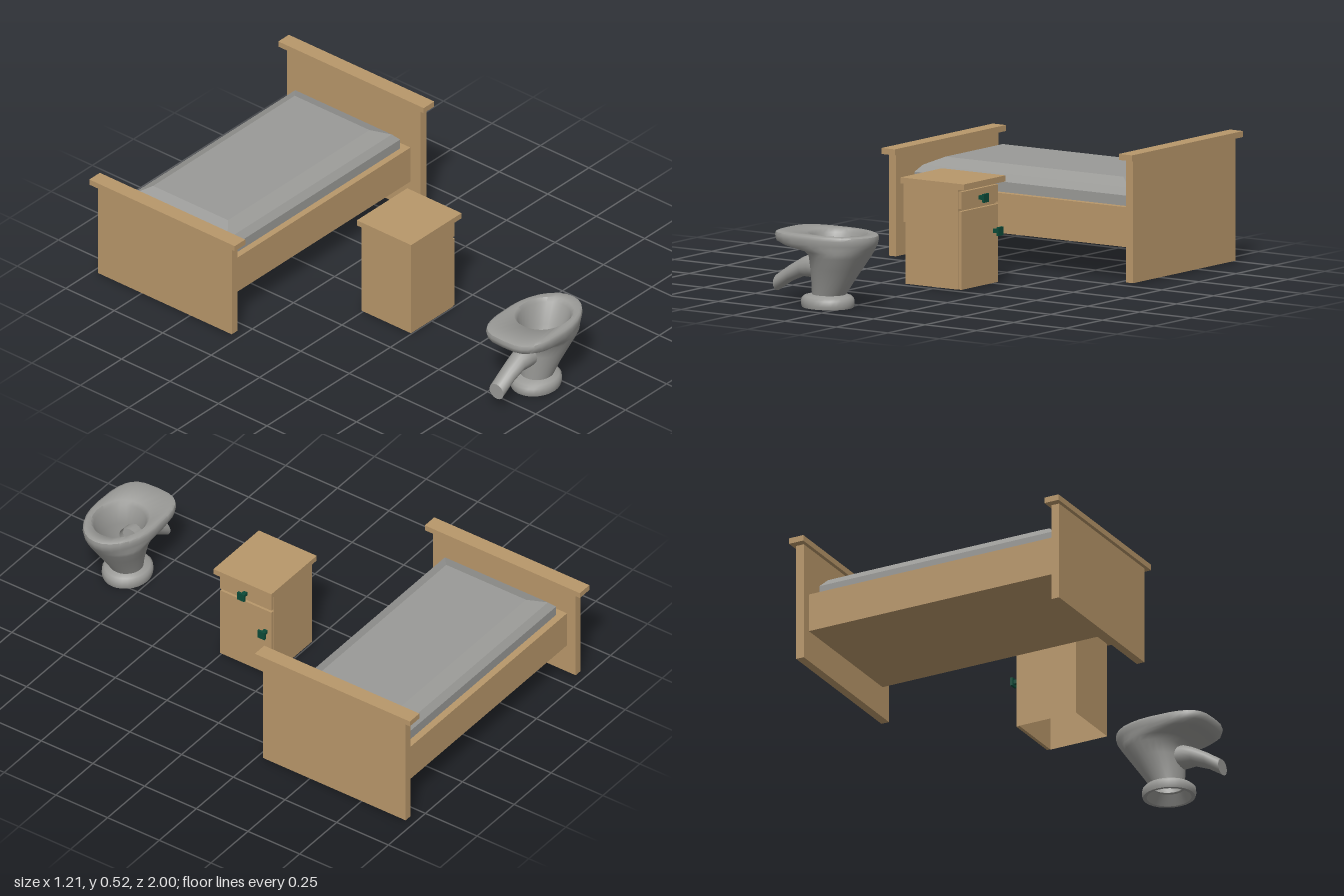
import * as THREE from 'three';
import { toCreasedNormals } from 'three/addons/utils/BufferGeometryUtils.js';

const material = (name, color, side = THREE.FrontSide) => {
  const m = new THREE.MeshStandardMaterial({ color, side });
  m.name = name;
  return m;
};

// Skin through equal-length closed rings of points, optionally closing the last ring.
function loft(rings, closeEnd, crease) {
  const n = rings[0].length, index = [];
  for (let i = 0; i < rings.length - 1; i++) {
    for (let j = 0; j < n; j++) {
      const a = i * n + j, b = i * n + (j + 1) % n;
      index.push(a, a + n, b, b, a + n, b + n);
    }
  }
  const last = (rings.length - 1) * n;
  if (closeEnd) for (let j = 1; j < n - 1; j++) index.push(last, last + j + 1, last + j);
  const g = new THREE.BufferGeometry();
  g.setAttribute('position', new THREE.Float32BufferAttribute(rings.flat(2), 3));
  g.setIndex(index);
  g.computeVertexNormals();
  return toCreasedNormals(g, crease);
}

const ringOf = (n, fn) => Array.from({ length: n }, (_, j) => fn((j / n) * Math.PI * 2));

export function createModel() {
  const root = new THREE.Group();
  const wood = material('wood', 0xb8976a, THREE.DoubleSide);
  const grey = material('grey', 0x9a9a97, THREE.DoubleSide);
  const green = material('dark green', 0x0b4a38);
  const red = material('rust red', 0x7c2613);

  const add = (parent, name, geometry, mat) => {
    const mesh = new THREE.Mesh(geometry, mat);
    mesh.name = name;
    parent.add(mesh);
    return mesh;
  };
  // Box given by its limits on each axis.
  const box = (parent, name, mat, [x0, x1], [y0, y1], [z0, z1]) => {
    const g = new THREE.BoxGeometry(x1 - x0, y1 - y0, z1 - z0);
    g.translate((x0 + x1) / 2, (y0 + y1) / 2, (z0 + z1) / 2);
    return add(parent, name, g, mat);
  };
  const group = (name) => {
    const g = new THREE.Group();
    g.name = name;
    root.add(g);
    return g;
  };

  // Bed
  const bed = group('bed');
  box(bed, 'bedFrame', wood, [-0.56, 0.557], [0.138, 0.297], [-0.927, -0.331]);
  for (const [name, x, top] of [['footboard', -0.575, 0.415], ['headboard', 0.573, 0.498]]) {
    box(bed, name, wood, [x - 0.017, x + 0.017], [0.008, top], [-0.969, -0.278]);
    box(bed, name + 'Cap', wood, [x - 0.032, x + 0.032], [top, top + 0.024], [-1, -0.25]);
  }
  // Mattress with a two-step bevel: height, inset in x, inset in z
  const mattressRings = [[0.297, 0, 0], [0.338, 0, 0], [0.366, 0.026, 0.021], [0.397, 0.095, 0.077]]
    .map(([y, ix, iz]) => [[1, 1], [-1, 1], [-1, -1], [1, -1]]
      .map(([sx, sz]) => [sx * (0.525 - ix), y, -0.628 + sz * (0.27 - iz)]));
  add(bed, 'mattress', loft(mattressRings, true, 0.05), grey);

  // Bedside cabinet, open underneath
  const cabinet = group('bedsideCabinet');
  const shell = box(cabinet, 'cabinetBody', wood, [-0.13, 0.125], [0.008, 0.408], [0, 0.254]);
  const faces = Array.from(shell.geometry.index.array);
  faces.splice(18, 6); // the bottom face
  shell.geometry.setIndex(faces);
  shell.geometry.clearGroups();
  box(cabinet, 'cabinetTop', wood, [-0.144, 0.162], [0.408, 0.432], [-0.013, 0.267]);
  box(cabinet, 'drawerFront', wood, [0.125, 0.139], [0.329, 0.397], [0.003, 0.251]);
  box(cabinet, 'cabinetDoor', wood, [0.125, 0.139], [0.008, 0.319], [0.003, 0.251]);
  for (const [name, y, z] of [['drawerKnob', 0.361, 0.128], ['doorKnob', 0.216, 0.03]]) {
    box(cabinet, name + 'Stem', green, [0.139, 0.163], [y - 0.008, y + 0.008], [z - 0.008, z + 0.008]);
    box(cabinet, name, green, [0.163, 0.173], [y - 0.017, y + 0.017], [z - 0.017, z + 0.017]);
  }

  // Toilet: height, back x, front x, half width, exponent of the back curve (below 1 is squarer)
  const toilet = group('toilet');
  toilet.position.z = 0.853;
  const sections = [
    [0.04, -0.14, -0.012, 0.06, 1],
    [0.0, -0.166, 0.014, 0.083, 1],
    [0.0, -0.182, 0.03, 0.095, 1],
    [0.012, -0.186, 0.034, 0.098, 1],
    [0.034, -0.184, 0.032, 0.097, 1],
    [0.044, -0.172, 0.022, 0.088, 1],
    [0.052, -0.138, 0.0, 0.067, 1],
    [0.1, -0.138, 0.032, 0.08, 1],
    [0.16, -0.136, 0.074, 0.102, 0.95],
    [0.21, -0.136, 0.109, 0.121, 0.9],
    [0.23, -0.155, 0.123, 0.129, 0.8],
    [0.247, -0.245, 0.135, 0.136, 0.65],
    [0.262, -0.276, 0.144, 0.141, 0.6],
    [0.283, -0.283, 0.15, 0.143, 0.6],
    [0.296, -0.279, 0.148, 0.14, 0.6],
    [0.301, -0.265, 0.138, 0.13, 0.6],
    [0.3, -0.15, 0.1, 0.108, 0.9],
    [0.285, -0.138, 0.088, 0.098, 1],
    [0.2, -0.133, 0.052, 0.083, 1],
    [0.11, -0.13, 0.0, 0.062, 1],
    [0.07, -0.129, -0.023, 0.053, 1],
  ];
  const bowlRings = sections.map(([y, back, front, half, p]) => {
    const mid = (back + front) / 2;
    return ringOf(28, (t) => {
      const c = Math.cos(t), s = Math.sin(t), q = c < 0 ? p : 1;
      return [
        mid + Math.sign(c) * (front - mid) * Math.abs(c) ** q,
        y,
        Math.sign(s) * half * Math.abs(s) ** q,
      ];
    });
  });
  add(toilet, 'toiletBowl', loft(bowlRings, false, 0.9), grey);

  // Outlet pipe: x, centre height, half height, half width
  const pipeRings = [
    [-0.09, 0.16, 0.048, 0.05],
    [-0.15, 0.158, 0.048, 0.047],
    [-0.19, 0.15, 0.039, 0.041],
    [-0.25, 0.12, 0.034, 0.037],
    [-0.316, 0.076, 0.033, 0.036],
  ].map(([x, y, ry, rz]) => ringOf(16, (t) => [x, y + ry * Math.cos(t), rz * Math.sin(t)]));
  add(toilet, 'outletPipe', loft(pipeRings, true, 0.7), grey);

  // Drain at the bottom of the bowl
  const drain = new THREE.CircleGeometry(0.054, 24);
  drain.rotateX(-Math.PI / 2);
  drain.translate(-0.076, 0.072, 0);
  add(toilet, 'drain', drain, red);

  return root;
}
